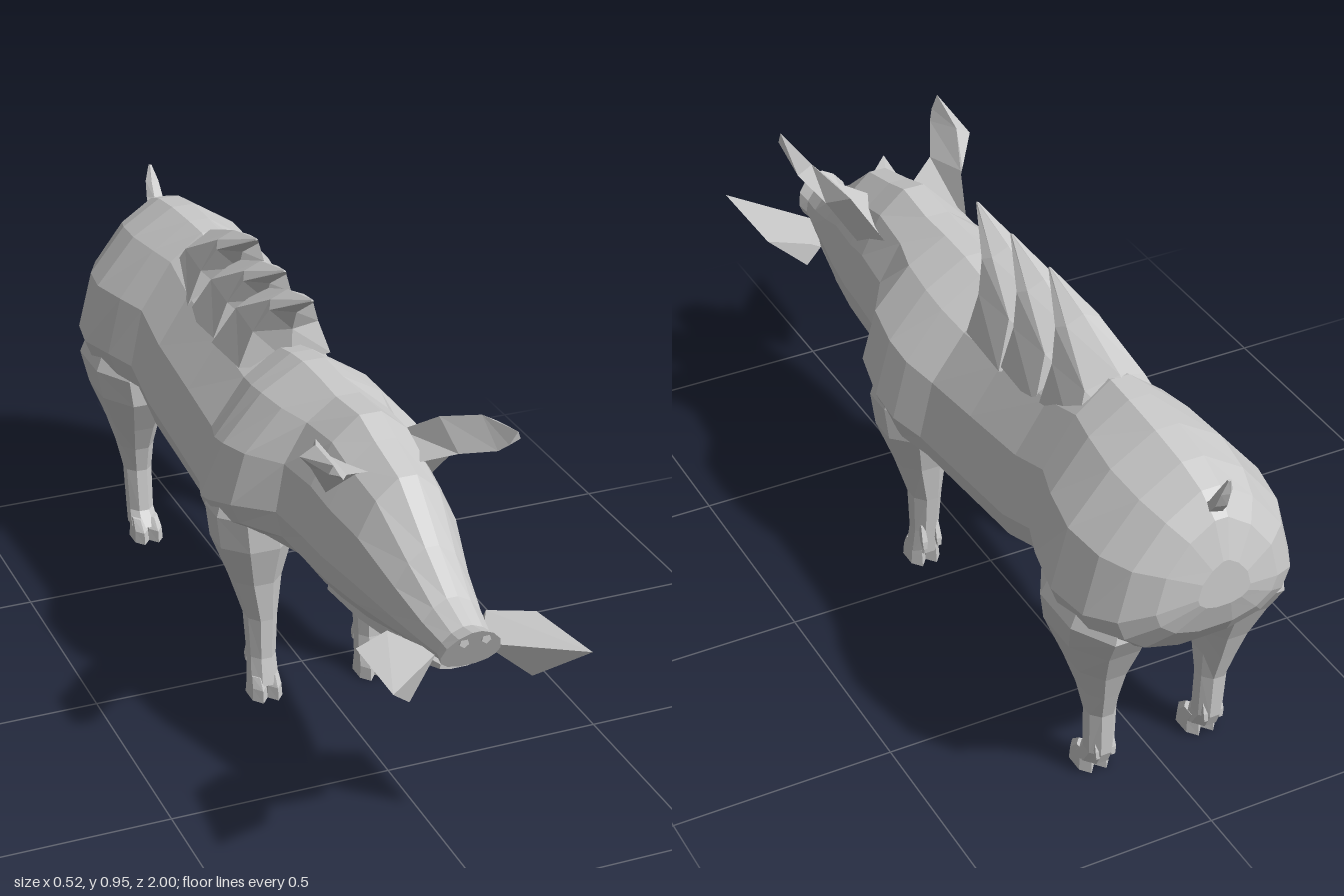
import * as THREE from 'three';
import { ConvexGeometry } from 'three/addons/geometries/ConvexGeometry.js';

const grey = new THREE.MeshStandardMaterial({ color: 0xcccccc, flatShading: true });

// Skin a list of rings (equal numbers of [x, y, z] corners) and close both ends.
function loft(rings) {
  const tris = [];
  const n = rings[0].length;
  for (let r = 0; r < rings.length - 1; r++) {
    for (let i = 0; i < n; i++) {
      const j = (i + 1) % n;
      const [a, b, c, d] = [rings[r][i], rings[r][j], rings[r + 1][j], rings[r + 1][i]];
      tris.push([a, b, c], [a, c, d]);
    }
  }
  const first = rings[0], last = rings[rings.length - 1];
  for (let i = 1; i < n - 1; i++) {
    tris.push([first[0], first[i + 1], first[i]], [last[0], last[i], last[i + 1]]);
  }
  // A negative enclosed volume means the faces point inwards.
  let volume = 0;
  for (const [a, b, c] of tris) {
    volume += a[0] * (b[1] * c[2] - b[2] * c[1])
            + a[1] * (b[2] * c[0] - b[0] * c[2])
            + a[2] * (b[0] * c[1] - b[1] * c[0]);
  }
  if (volume < 0) tris.forEach(t => t.reverse());
  const geo = new THREE.BufferGeometry();
  geo.setAttribute('position', new THREE.Float32BufferAttribute(tris.flat(2), 3));
  geo.computeVertexNormals();
  return geo;
}

// Upright body ring: narrow towards the spine (less so on the head), fuller below;
// lean moves the lower edge in z.
function bodyRing([z, top, bottom, w, lean = 0], sides = 14) {
  const mid = bottom + (top - bottom) * (z < 0.2 ? 0.29 : 0.36);
  const taper = z < 0.2 ? 1.5 : 1.2;
  return Array.from({ length: sides }, (_, i) => {
    const a = ((i + 0.5) / sides) * Math.PI * 2;
    const s = Math.sin(a), c = Math.cos(a) / Math.cos(Math.PI / sides);
    const x = w * Math.sign(s) * Math.pow(Math.abs(s), c < 0 ? 0.85 : taper);
    const y = mid + (c > 0 ? (top - mid) * c : (mid - bottom) * c);
    return [x, y, z + lean * (top - y) / (top - bottom)];
  });
}

// Level limb ring: [height, centre x, centre z, radius x, radius z].
function limbRing([y, x, z, rx, rz], side, sides = 8) {
  return Array.from({ length: sides }, (_, i) => {
    const a = ((i + 0.5) / sides) * Math.PI * 2;
    return [side * (x + rx * 1.05 * Math.cos(a)), y, z + rz * 1.05 * Math.sin(a)];
  });
}

export function createModel() {
  const model = new THREE.Group();
  model.name = 'boar';
  const add = (name, geometry, parent = model) => {
    const mesh = new THREE.Mesh(geometry, grey);
    mesh.name = name;
    parent.add(mesh);
    return mesh;
  };

  // Rump, barrel, shoulders, head and snout as one skin: z, top, bottom, half width
  add('body', loft([
    [-1.0, 0.68, 0.57, 0.06], [-0.975, 0.765, 0.5, 0.14], [-0.93, 0.81, 0.44, 0.2],
    [-0.86, 0.835, 0.41, 0.24], [-0.76, 0.85, 0.41, 0.258], [-0.65, 0.855, 0.42, 0.235],
    [-0.57, 0.855, 0.415, 0.205], [-0.45, 0.82, 0.37, 0.205], [-0.25, 0.79, 0.355, 0.208],
    [-0.08, 0.77, 0.348, 0.215], [0, 0.79, 0.355, 0.242], [0.07, 0.80, 0.385, 0.25],
    [0.17, 0.80, 0.43, 0.235], [0.26, 0.80, 0.41, 0.165], [0.38, 0.81, 0.40, 0.152],
    [0.46, 0.785, 0.405, 0.144], [0.575, 0.755, 0.415, 0.125], [0.7, 0.655, 0.44, 0.093],
    [0.8, 0.59, 0.465, 0.073], [0.875, 0.565, 0.475, 0.06, -0.02], [0.92, 0.575, 0.475, 0.066, -0.045],
  ].map(r => bodyRing(r))));

  // Lower jaw
  add('jaw', loft([
    [0.4, 0.5, 0.4, 0.11], [0.54, 0.5, 0.405, 0.1], [0.68, 0.49, 0.425, 0.082],
    [0.8, 0.48, 0.44, 0.06], [0.84, 0.475, 0.45, 0.045],
  ].map(r => bodyRing(r, 8))));

  // Three swept-forward bristle tufts along the spine, from tip to root:
  // front [y, z], cheek [x, y, z], flank [x, y, z], ridge [y, z]
  const crest = new THREE.Group();
  crest.name = 'crest';
  model.add(crest);
  const tuft = [
    [[0.935, 0.065], [0.003, 0.934, 0.062], [0.002, 0.936, 0.059], [0.937, 0.058]],
    [[0.87, -0.03], [0.052, 0.872, -0.06], [0.04, 0.885, -0.085], [0.903, -0.085]],
    [[0.82, -0.055], [0.078, 0.81, -0.095], [0.07, 0.815, -0.22], [0.845, -0.24]],
    [[0.73, -0.06], [0.11, 0.725, -0.1], [0.115, 0.72, -0.26], [0.73, -0.36]],
  ];
  for (const [dz, dy] of [[0, 0], [-0.16, 0.005], [-0.33, 0.015]]) {
    add('bristleTuft', loft(tuft.map(([front, cheek, flank, ridge]) => [
      [0, ...front], cheek, flank,
      [0, ...ridge], [-flank[0], flank[1], flank[2]], [-cheek[0], cheek[1], cheek[2]],
    ].map(([x, y, z]) => [x, y + dy, z + dz]))), crest);
  }

  // Upturned tail
  add('tail', loft([
    [0.76, 0, -0.93, 0.025, 0.025], [0.80, 0, -0.965, 0.02, 0.018],
    [0.835, 0, -0.982, 0.016, 0.012], [0.87, 0, -0.995, 0.004, 0.004],
  ].map(r => limbRing(r, 1, 5))));

  const frontLeg = [
    [0.6, 0.14, 0.07, 0.07, 0.08], [0.48, 0.158, 0.075, 0.09, 0.092],
    [0.4, 0.15, 0.073, 0.088, 0.088],
    [0.3, 0.143, 0.073, 0.057, 0.058], [0.2, 0.132, 0.075, 0.036, 0.044],
    [0.1, 0.132, 0.08, 0.031, 0.036], [0.035, 0.132, 0.09, 0.034, 0.038],
  ];
  const hindLeg = [
    [0.6, 0.13, -0.77, 0.07, 0.13], [0.48, 0.16, -0.765, 0.092, 0.16],
    [0.41, 0.15, -0.748, 0.09, 0.135],
    [0.32, 0.145, -0.752, 0.06, 0.088], [0.25, 0.14, -0.758, 0.043, 0.058],
    [0.18, 0.135, -0.757, 0.033, 0.036], [0.07, 0.133, -0.752, 0.031, 0.036],
    [0.035, 0.133, -0.73, 0.035, 0.042],
  ];

  for (const side of [1, -1]) {
    const label = side > 0 ? 'left' : 'right';
    const mirror = p => [side * p[0], p[1], p[2]];

    // Legs, each with two toes and two small dewclaws
    for (const [name, rows, footZ] of [['FrontLeg', frontLeg, 0.097], ['HindLeg', hindLeg, -0.712]]) {
      const leg = new THREE.Group();
      leg.name = label + name;
      model.add(leg);
      add('shank', loft(rows.map(r => limbRing(r, side))), leg);
      const ankle = rows[rows.length - 1];
      for (const x of [0.114, 0.15]) {
        add('toe', loft([
          [0.055, x, ankle[2], 0.015, 0.03], [0.03, x, footZ, 0.018, 0.04],
          [0, x, footZ, 0.02, 0.043],
        ].map(r => limbRing(r, side, 6))), leg);
        add('dewclaw', loft([
          [0.12, x, ankle[2] - 0.035, 0.006, 0.008], [0.08, x, ankle[2] - 0.046, 0.009, 0.01],
          [0.06, x, ankle[2] - 0.05, 0.006, 0.005],
        ].map(r => limbRing(r, side, 4))), leg);
      }
    }

    // Leaf-shaped ear reaching out and forward
    add(label + 'Ear', loft([
      [[0.05, 0.74, 0.5], [0.12, 0.67, 0.43], [0.1, 0.72, 0.31]],
      [[0.125, 0.77, 0.55], [0.175, 0.762, 0.48], [0.14, 0.795, 0.42]],
      [[0.17, 0.81, 0.64], [0.22, 0.82, 0.53], [0.185, 0.84, 0.53]],
      [[0.185, 0.83, 0.66], [0.21, 0.84, 0.66], [0.202, 0.86, 0.665]],
    ].map(ring => ring.map(mirror))));

    // Broad pointed tusk
    add(label + 'Tusk', new ConvexGeometry([
      [0.05, 0.495, 0.84], [0.07, 0.465, 0.76], [0.2, 0.505, 0.78], [0.125, 0.45, 0.72],
      [0.135, 0.433, 0.9], [0.11, 0.5, 0.73], [0.215, 0.525, 1.0],
    ].map(p => new THREE.Vector3(...mirror(p)))));

    // Almond eye and nostril
    const eye = add(label + 'Eye', new THREE.SphereGeometry(1, 8, 4));
    eye.scale.set(0.01, 0.013, 0.036);
    eye.position.set(side * 0.09, 0.645, 0.575);
    eye.rotation.set(0.1, -side * 0.25, 0);
    const nostril = add(label + 'Nostril', new THREE.CylinderGeometry(0.011, 0.011, 0.008, 5));
    nostril.rotation.x = Math.PI / 2;
    nostril.position.set(side * 0.024, 0.55, 0.908);
  }
  return model;
}
